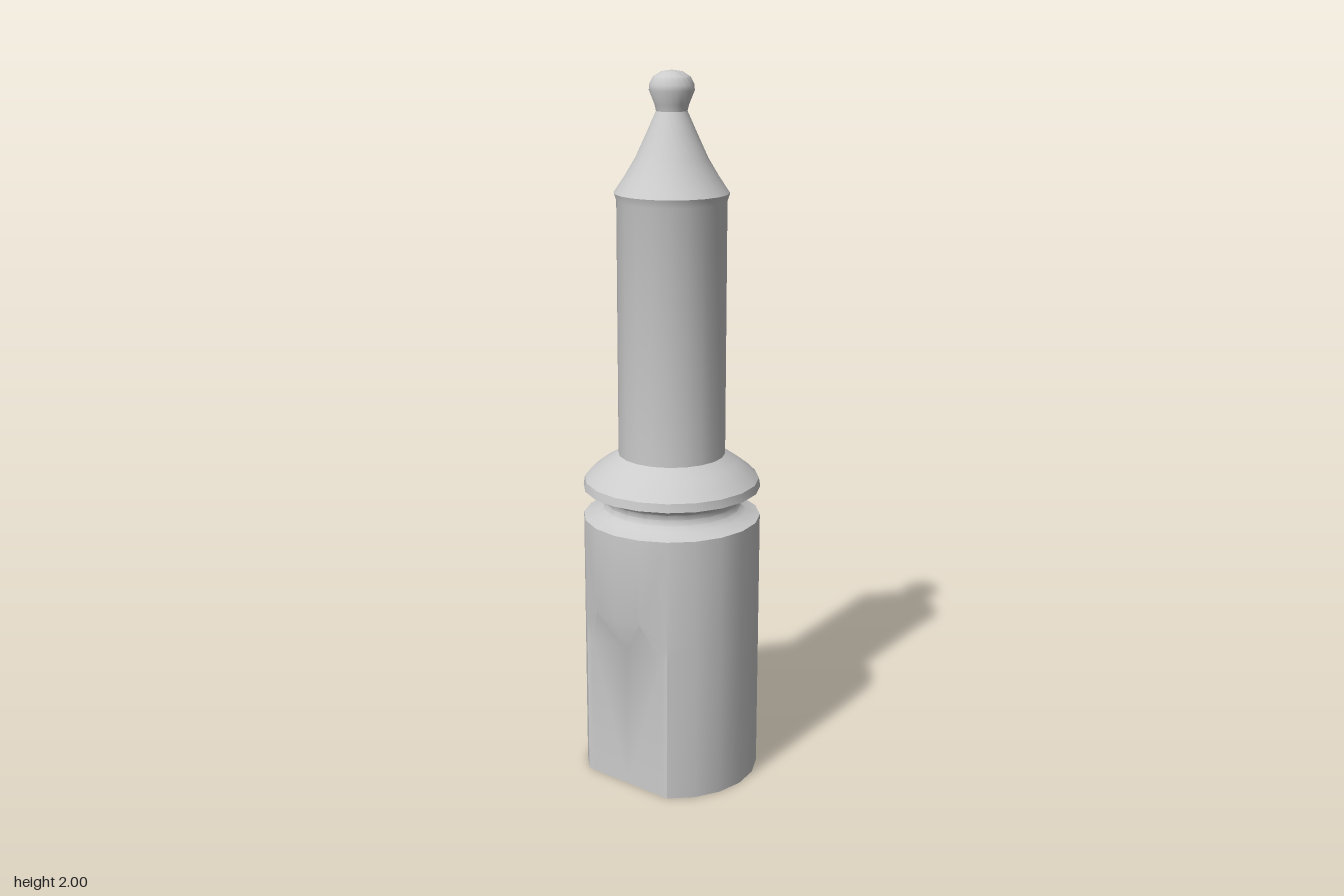
import * as THREE from 'three';
import { toCreasedNormals } from 'three/addons/utils/BufferGeometryUtils.js';

const SIDES = 20;
const R = 0.25;
const STEP = (Math.PI * 2) / SIDES;
const CREASE = 0.55;

export function createModel() {
  const model = new THREE.Group();
  const material = new THREE.MeshStandardMaterial({ color: 0xcccccc });

  const add = (name, geometry) => {
    const mesh = new THREE.Mesh(toCreasedNormals(geometry, CREASE), material);
    mesh.name = name;
    model.add(mesh);
  };
  const turned = (name, profile) => add(name, new THREE.LatheGeometry(
    profile.map(([r, y]) => new THREE.Vector2(r, y)), SIDES));

  // Round shank with a spanner flat on the front and the back
  add('shank', shankGeometry());

  // Groove between shank and flange, then the domed flange
  turned('groove', [[R, 0.768], [0.21, 0.782], [0.195, 0.795], [0.19, 0.81],
    [0.193, 0.825], [0.205, 0.838], [R, 0.852]]);
  turned('flange', [[R, 0.852], [0.246, 0.876], [0.225, 0.897],
    [0.19, 0.924], [0.15, 0.948]]);

  // Long straight pin
  turned('pin', [[0.15, 0.94], [0.15, 1.655], [0.157, 1.677]]);

  // Tapered nose with a small ball tip
  turned('nose', [[0.157, 1.677], [0.128, 1.72], [0.098, 1.77], [0.068, 1.835],
    [0.042, 1.893], [0.046, 1.91], [0.061, 1.947], [0.06, 1.962],
    [0.05, 1.982], [0.03, 1.995], [0, 2]]);

  return model;
}

// Lofted rings; vertices within two steps of +z or -z are pulled onto the flats
function shankGeometry() {
  const flatZ = R * Math.cos(2 * STEP);
  const positions = [];
  const index = [];

  for (let ring = 0; ring < 4; ring++) {
    for (let i = 0; i < SIDES; i++) {
      const fromFlat = Math.min(i, SIDES - i, Math.abs(i - SIDES / 2));
      let x = R * Math.sin(i * STEP);
      let z = R * Math.cos(i * STEP);
      let y = [0, 0.415, 0.52, 0.768][ring];
      if (ring < 2 && fromFlat <= 2) {
        z = Math.sign(z) * flatZ;
        if (fromFlat === 1) x = Math.sign(x) * 0.13;
      }
      // Upper corners of the run-out sit lower than its middle
      if (ring === 2 && fromFlat >= 2) y = 0.465;
      positions.push(x, y, z);
    }
  }

  for (let ring = 0; ring < 3; ring++) {
    for (let i = 0; i < SIDES; i++) {
      const a = ring * SIDES + i;
      const b = ring * SIDES + (i + 1) % SIDES;
      const c = b + SIDES;
      const d = a + SIDES;
      // The diagonal is mirrored about each flat
      if (i % 10 < 5) index.push(a, b, c, a, c, d);
      else index.push(a, b, d, b, c, d);
    }
  }

  // Bottom cap
  const centre = positions.length / 3;
  positions.push(0, 0, 0);
  for (let i = 0; i < SIDES; i++) index.push(centre, (i + 1) % SIDES, i);

  const geometry = new THREE.BufferGeometry();
  geometry.setAttribute('position', new THREE.Float32BufferAttribute(positions, 3));
  geometry.setIndex(index);
  return geometry;
}
